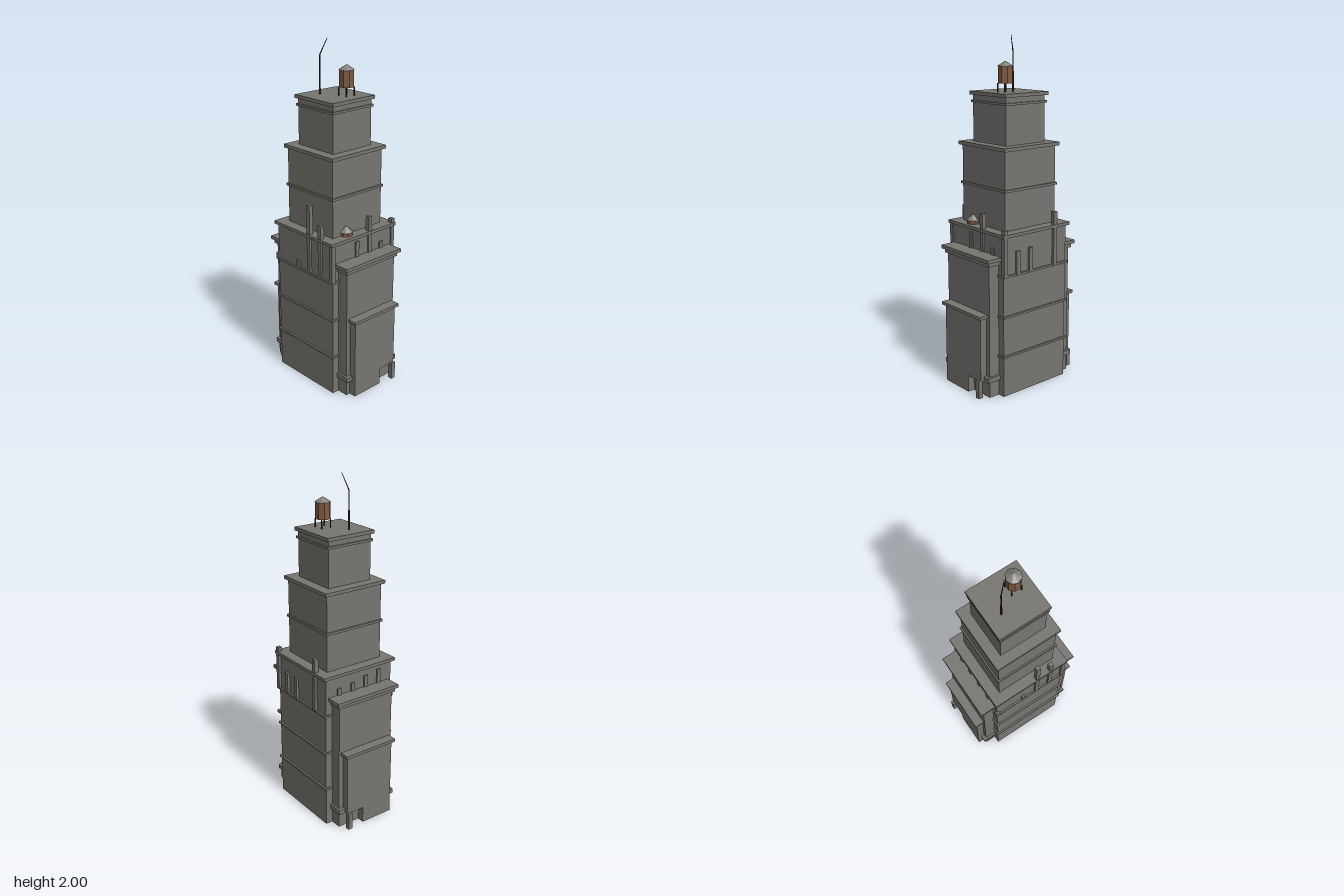
import * as THREE from 'three';

const material = (name, color, flatShading = false) => {
  const m = new THREE.MeshStandardMaterial({ color, flatShading });
  m.name = name;
  return m;
};

export function createModel() {
  const model = new THREE.Group();
  model.name = 'steppedTower';
  const stone = material('stone', 0x777570);
  const wood = material('tankWood', 0x7e5a44);
  const roofGrey = material('tankRoof', 0x82817d);
  const darkMetal = material('darkMetal', 0x3d2519);

  const add = (name, geometry, mat, x = 0, y = 0, z = 0, parent = model) => {
    const mesh = new THREE.Mesh(geometry, mat);
    mesh.name = name;
    mesh.position.set(x, y, z);
    parent.add(mesh);
    return mesh;
  };

  // box from ranges on each axis
  const block = (name, x0, x1, y0, y1, z0, z1) =>
    add(name, new THREE.BoxGeometry(x1 - x0, y1 - y0, z1 - z0), stone,
      (x0 + x1) / 2, (y0 + y1) / 2, (z0 + z1) / 2);
  // box centred on the tower axis
  const slab = (name, hx, hz, y0, y1) => block(name, -hx, hx, y0, y1, -hz, hz);

  // central shaft and setbacks
  slab('mainShaft', 0.235, 0.23, 0, 0.935);
  slab('mainCornice', 0.249, 0.249, 0.932, 0.95);
  for (const y of [0.24, 0.475, 0.71]) slab('mainBand', 0.244, 0.241, y - 0.006, y + 0.006);
  slab('middleTier', 0.186, 0.186, 0.95, 1.395);
  slab('middleBand', 0.195, 0.195, 1.168, 1.182);
  slab('middleCornice', 0.202, 0.202, 1.393, 1.413);
  slab('upperTier', 0.142, 0.142, 1.413, 1.68);
  slab('upperBand', 0.151, 0.151, 1.632, 1.645);
  slab('upperCornice', 0.156, 0.156, 1.675, 1.695);

  // inner side wings
  slab('innerWings', 0.302, 0.187, 0, 0.78);
  slab('innerWingLowerCornice', 0.315, 0.2, 0.775, 0.8);
  slab('innerWingUpperCornice', 0.33, 0.213, 0.8, 0.82);
  slab('innerWingBaseBand', 0.322, 0.2, 0.096, 0.125);

  // outer side wings with an open rear entrance and its corner post
  slab('outerWings', 0.345, 0.16, 0.1, 0.478);
  block('outerWingBase', -0.345, 0.345, 0, 0.1, -0.045, 0.16);
  slab('outerWingCornice', 0.36, 0.175, 0.474, 0.492);
  for (const s of [-1, 1]) {
    const cx = s * 0.346;
    block('entrancePost', cx - 0.014, cx + 0.014, 0, 0.106, -0.16, -0.132);
  }

  // broken ribs rising from the top band of the main shaft: [offset, top]
  const ribs = {
    front: [[-0.232, 0.75], [-0.048, 0.76], [0.045, 1.117], [0.138, 1.025], [0.23, 0.935]],
    back: [[-0.14, 1.025], [0.045, 0.85], [0.138, 0.845], [0.23, 0.975]],
    right: [[-0.14, 0.86], [-0.048, 1.037], [0.05, 0.912]],
    left: [[-0.14, 0.86], [-0.048, 0.87], [0.045, 0.89], [0.138, 0.905]],
  };
  const w = 0.0125;
  for (const [side, list] of Object.entries(ribs)) {
    for (const [o, top] of list) {
      const x = side === 'right' ? 0.231 : side === 'left' ? -0.231 : o;
      const z = side === 'front' ? 0.231 : side === 'back' ? -0.233 : o;
      block(side + 'Rib', x - w, x + w, 0.71, top, z - w, z + w);
    }
  }

  // eight-sided water tank with conical roof on four legs
  const tank = (name, x, y, z, r, bodyHeight, roofHeight) => {
    const g = new THREE.Group();
    g.name = name;
    g.position.set(x, y, z);
    model.add(g);
    const leg = 0.05;
    for (const sx of [-1, 1]) for (const sz of [-1, 1]) {
      add('tankLeg', new THREE.CylinderGeometry(0.004, 0.004, leg, 6), darkMetal,
        sx * r * 0.66, leg / 2, sz * r * 0.66, g);
    }
    const body = add('tankBody', new THREE.CylinderGeometry(r * 0.95, r * 0.95, bodyHeight, 8).toNonIndexed(),
      wood, 0, leg + bodyHeight / 2, 0, g);
    body.rotation.y = Math.PI / 8;
    body.geometry.computeVertexNormals();
    const roof = add('tankRoof', new THREE.CylinderGeometry(0.004, r, roofHeight, 8).toNonIndexed(),
      roofGrey, 0, leg + bodyHeight + roofHeight / 2, 0, g);
    roof.geometry.computeVertexNormals();
  };
  tank('roofTank', 0.056, 1.693, -0.036, 0.045, 0.093, 0.026);
  tank('terraceTank', 0.19, 0.84, 0.09, 0.041, 0.08, 0.03);

  // bent antenna: tapered rods between successive points
  const rod = (a, b, ra, rb) => {
    const dir = b.clone().sub(a);
    const m = add('antenna', new THREE.CylinderGeometry(rb, ra, dir.length(), 6), darkMetal);
    m.position.copy(a).add(b).multiplyScalar(0.5);
    m.quaternion.setFromUnitVectors(new THREE.Vector3(0, 1, 0), dir.normalize());
  };
  const base = new THREE.Vector3(-0.071, 1.693, 0.046);
  const waist = new THREE.Vector3(-0.071, 1.8, 0.046);
  const bend = new THREE.Vector3(-0.07, 1.91, 0.045);
  const tip = new THREE.Vector3(-0.036, 2, 0.022);
  rod(base, waist, 0.006, 0.005);
  rod(waist, bend, 0.004, 0.0035);
  rod(bend, tip, 0.0035, 0.0015);

  return model;
}
